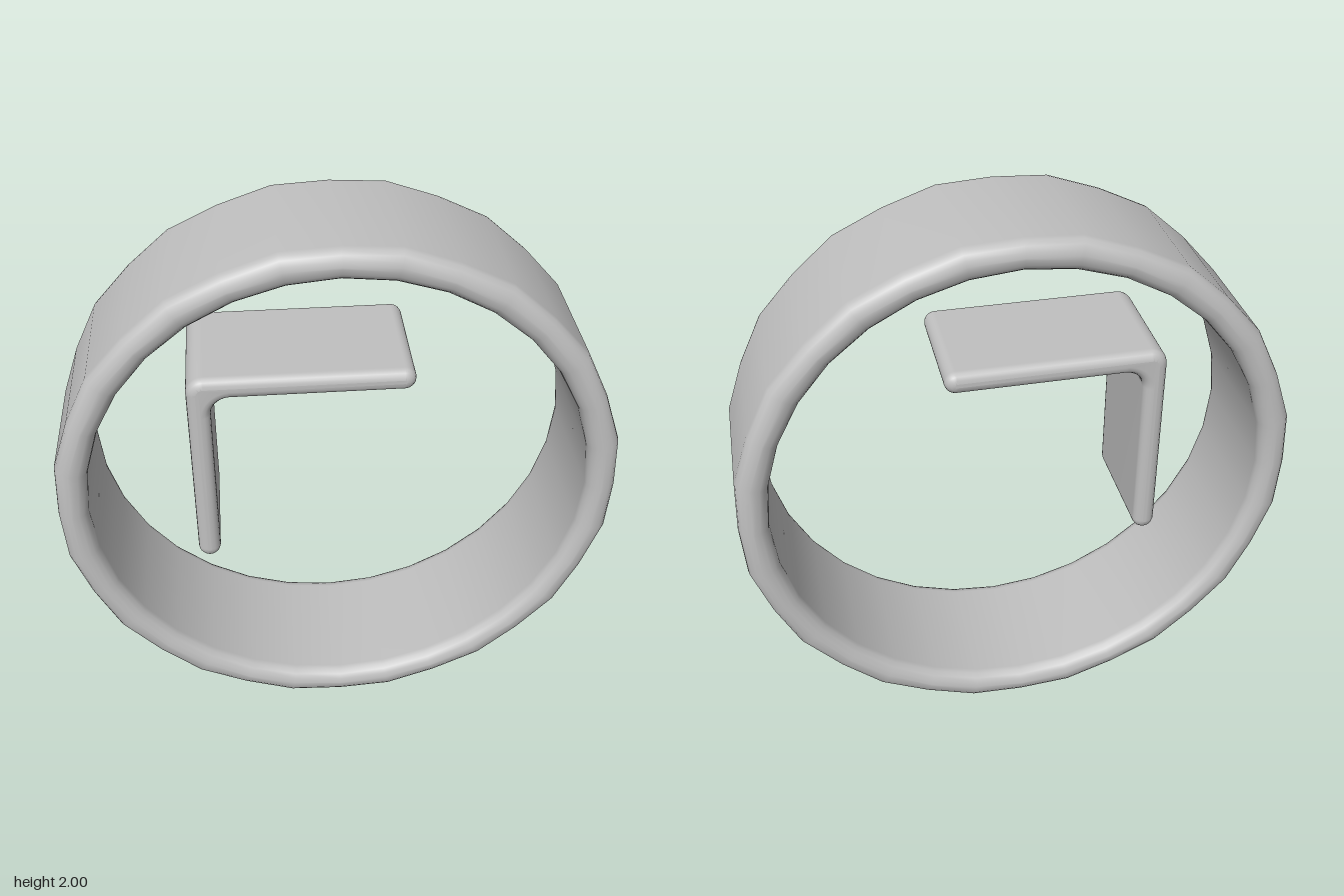
import * as THREE from 'three';
import { mergeVertices } from 'three/addons/utils/BufferGeometryUtils.js';

// Rounded-rectangle cross-section (radius, depth) swept into a band
function ringGeometry(inner, outer, half, r) {
  const pts = [new THREE.Vector2(outer, 0)];
  const corners = [
    [outer - r, half - r, 0],
    [inner + r, half - r, 1],
    [inner + r, -half + r, 2],
    [outer - r, -half + r, 3],
  ];
  for (const [cx, cy, quarter] of corners) {
    for (let i = 0; i <= 4; i++) {
      const a = (quarter + i / 4) * Math.PI / 2;
      pts.push(new THREE.Vector2(cx + r * Math.cos(a), cy + r * Math.sin(a)));
    }
  }
  pts.push(new THREE.Vector2(outer, 0));
  const geo = new THREE.LatheGeometry(pts, 32);
  // Slightly faceted, hand-worked outline
  const p = geo.attributes.position;
  for (let i = 0; i < p.count; i++) {
    const x = p.getX(i), z = p.getZ(i);
    if (Math.hypot(x, z) < (inner + outer) / 2) continue;
    const k = 1 + 0.004 * (1 - Math.cos(16 * Math.atan2(z, x)));
    p.setX(i, x * k);
    p.setZ(i, z * k);
  }
  return geo.rotateX(Math.PI / 2);
}

// Thin L-shaped bracket with soft edges all round
function bracketGeometry() {
  const x0 = -0.52, x1 = 0.26, y0 = 0.74, y1 = 1.52, t = 0.08, h = t / 2;
  const s = new THREE.Shape();
  s.moveTo(x0, y0 + h);
  s.absarc(x0 + h, y0 + h, h, Math.PI, 2 * Math.PI, false);
  s.lineTo(x0 + t, y1 - t - 0.07);
  s.absarc(x0 + t + 0.07, y1 - t - 0.07, 0.07, Math.PI, Math.PI / 2, true);
  s.lineTo(x1 - h, y1 - t);
  s.absarc(x1 - h, y1 - h, h, -Math.PI / 2, Math.PI / 2, false);
  s.lineTo(x0 + 0.06, y1);
  s.absarc(x0 + 0.06, y1 - 0.06, 0.06, Math.PI / 2, Math.PI, false);
  s.closePath();
  const bevel = 0.033, half = 0.235;
  const geo = new THREE.ExtrudeGeometry(s, {
    depth: 2 * (half - bevel), bevelEnabled: true, bevelThickness: bevel,
    bevelSize: bevel, bevelOffset: -bevel, bevelSegments: 4, curveSegments: 8,
  });
  geo.translate(0, 0, -(half - bevel));
  geo.deleteAttribute('normal');
  geo.deleteAttribute('uv');
  const smooth = mergeVertices(geo, 1e-4);
  smooth.computeVertexNormals();
  return smooth;
}

export function createModel() {
  const group = new THREE.Group();
  group.name = 'ringWithBracket';
  const grey = new THREE.MeshStandardMaterial({ color: 0xc0c0c0 });
  grey.name = 'light grey';

  // Outer band
  const ring = new THREE.Mesh(ringGeometry(0.893, 1, 0.28, 0.05), grey);
  ring.name = 'outerRing';
  ring.position.y = 1;
  group.add(ring);

  // Floating corner bracket
  const bracket = new THREE.Mesh(bracketGeometry(), grey);
  bracket.name = 'cornerBracket';
  group.add(bracket);

  return group;
}
